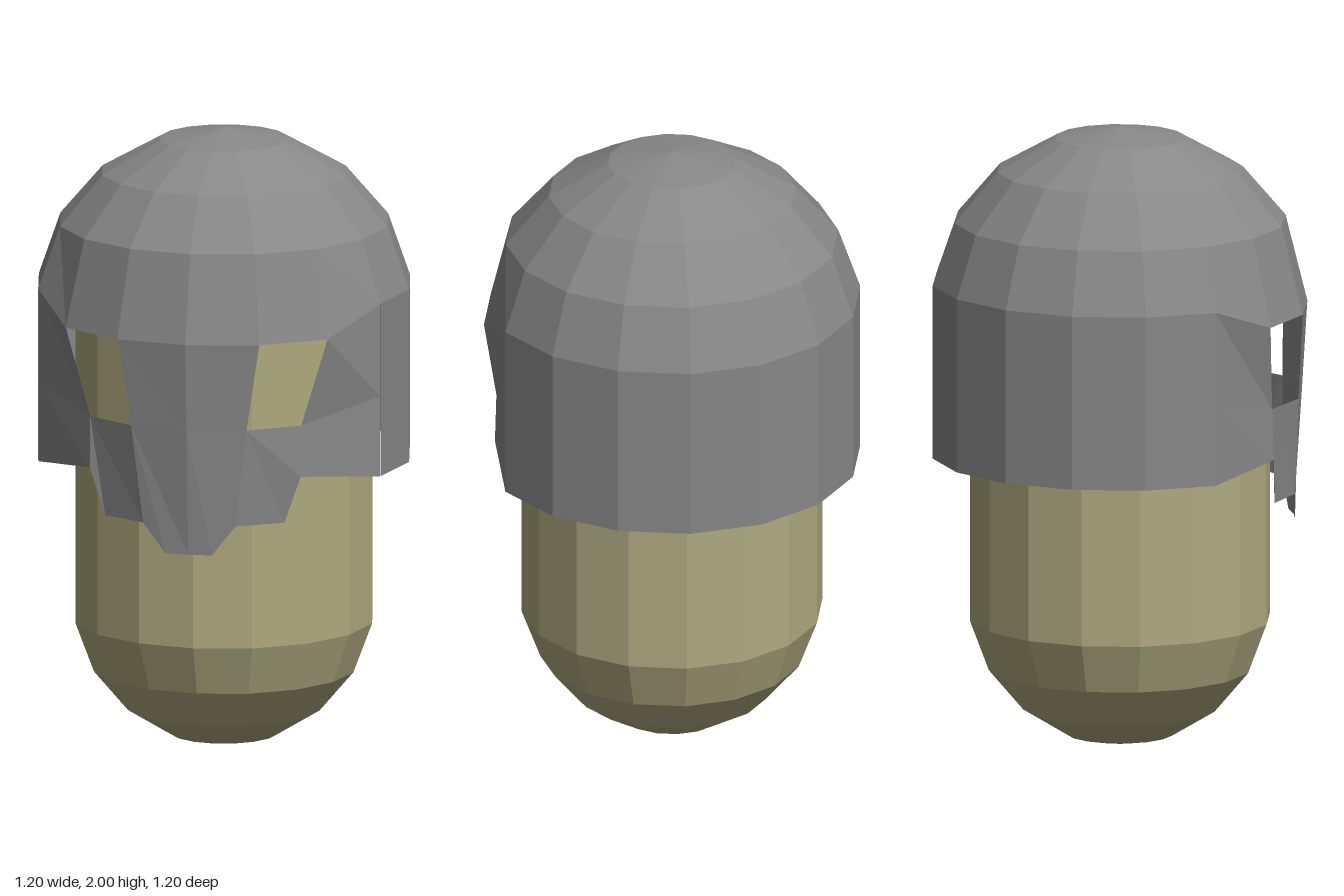
import * as THREE from 'three';

const SIDES = 16;

function lathe(profile, start = 0, sides = SIDES) {
  const points = profile.map(([r, y]) => new THREE.Vector2(r, y));
  return new THREE.LatheGeometry(points, sides, start, (sides / SIDES) * Math.PI * 2);
}

// Face guard: corner points of the left half, mirrored to the right
function faceGuardGeometry() {
  const p = {
    browMid: [0, 1.42, 0.6], browIn: [0.23, 1.42, 0.554], browOut: [0.424, 1.42, 0.424],
    eyeMid: [0, 1.14, 0.583], eyeIn: [0.187, 1.14, 0.546], eyeOut: [0.342, 1.14, 0.44],
    cheek: [0.342, 0.975, 0.446], jawOut: [0.29, 0.825, 0.455], jawIn: [0.15, 0.825, 0.54],
    chin: [0.075, 0.73, 0.55], chinMid: [0, 0.73, 0.556],
    sideTop: [0.554, 1.5, 0.23], sideMid: [0.554, 1.2, 0.23], sideLow: [0.554, 0.94, 0.23],
  };
  const panels = [
    ['browMid', 'eyeMid', 'eyeIn', 'browIn'],
    ['eyeMid', 'chinMid', 'chin', 'jawIn', 'eyeIn'],
    ['eyeIn', 'jawIn', 'jawOut', 'cheek', 'eyeOut'],
    ['browOut', 'eyeOut', 'sideMid', 'sideTop'],
    ['eyeOut', 'cheek', 'sideLow', 'sideMid'],
  ];
  const positions = [];
  for (const side of [1, -1]) {
    for (const panel of panels) {
      const corners = panel.map((name) => [p[name][0] * side, p[name][1], p[name][2]]);
      if (side < 0) corners.reverse();
      for (let i = 1; i < corners.length - 1; i++) {
        positions.push(...corners[0], ...corners[i], ...corners[i + 1]);
      }
    }
  }
  const geometry = new THREE.BufferGeometry();
  geometry.setAttribute('position', new THREE.Float32BufferAttribute(positions, 3));
  geometry.computeVertexNormals();
  return geometry;
}

export function createModel() {
  const skin = new THREE.MeshStandardMaterial({ color: 0xafa97f, flatShading: true });
  const metal = new THREE.MeshStandardMaterial({
    color: 0x888888, flatShading: true, side: THREE.DoubleSide,
  });
  const model = new THREE.Group();
  const add = (name, geometry, material, parent) => {
    const mesh = new THREE.Mesh(geometry, material);
    mesh.name = name;
    parent.add(mesh);
  };

  // Capsule body, its top hidden under the helmet
  const cap = [[0, 0], [0.17, 0.035], [0.31, 0.12], [0.42, 0.25], [0.48, 0.41]];
  const upper = cap.map(([r, y]) => [r, 1.9 - y]).reverse();
  add('body', lathe([...cap, ...upper]), skin, model);

  const helmet = new THREE.Group();
  helmet.name = 'helmet';
  model.add(helmet);

  // Dome, with its rim dipping to the brow at the front
  const dome = lathe([[0.6, 1.5], [0.53, 1.7], [0.393, 1.86], [0.205, 1.965], [0, 2]]);
  const pos = dome.attributes.position;
  for (let i = 0; i < pos.count; i++) {
    if (pos.getY(i) < 1.51 && pos.getZ(i) > 0.4) pos.setY(i, 1.42);
  }
  dome.computeVertexNormals();
  add('helmetDome', dome, metal, helmet);

  // Straight wall round the sides and back
  add('helmetWall', lathe([[0.6, 0.94], [0.6, 1.5]], Math.PI * 3 / 8, 10), metal, helmet);

  // Front with open eye holes, cheeks and chin
  add('faceGuard', faceGuardGeometry(), metal, helmet);

  return model;
}
